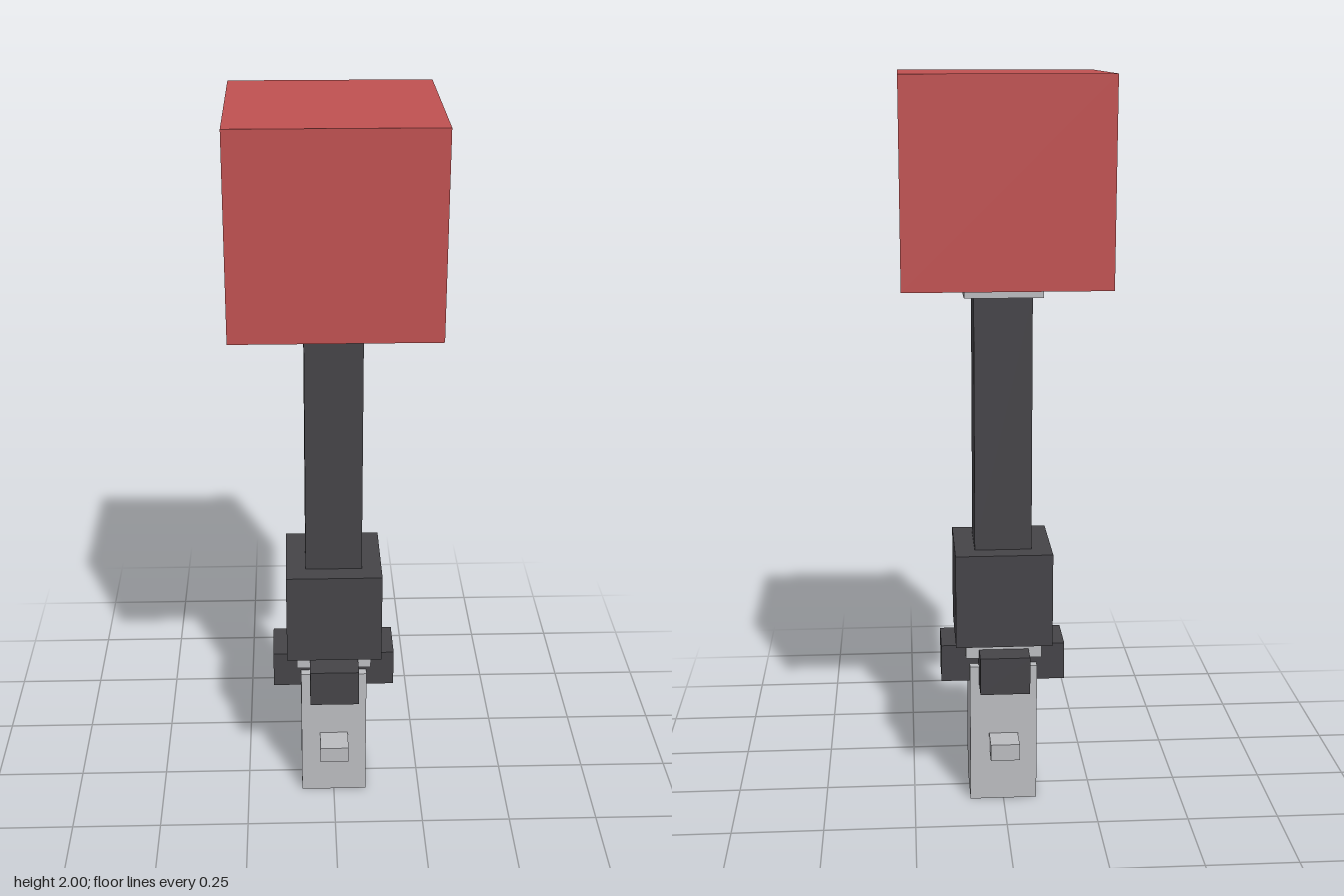
import * as THREE from 'three';

export function createModel() {
  const model = new THREE.Group();
  model.name = 'mallet';

  const material = (name, color) => {
    const m = new THREE.MeshStandardMaterial({ color });
    m.name = name;
    return m;
  };
  const red = material('red', 0xc05151);
  const dark = material('charcoal', 0x454448);
  const grey = material('light grey', 0xbbbcc0);

  // Box of the given width and depth, standing between two heights
  const block = (name, mat, width, depth, y0, y1, x = 0, z = 0) => {
    const mesh = new THREE.Mesh(new THREE.BoxGeometry(width, y1 - y0, depth), mat);
    mesh.name = name;
    mesh.position.set(x, (y0 + y1) / 2, z);
    model.add(mesh);
  };

  // Square sections stacked along the centre, bottom to top
  block('base', grey, 0.186, 0.186, 0, 0.4);
  block('neck', grey, 0.13, 0.13, 0.4, 0.43);
  block('lowerCollar', grey, 0.208, 0.208, 0.43, 0.473);
  block('grip', dark, 0.264, 0.264, 0.473, 0.735);
  block('shaft', dark, 0.155, 0.155, 0.735, 1.43);
  block('upperCollar', grey, 0.208, 0.208, 1.43, 1.472);
  block('head', red, 0.534, 0.534, 1.472, 2);

  // Four lugs around the neck
  for (let i = 0; i < 4; i++) {
    const a = (i * Math.PI) / 2;
    const x = Math.round(Math.sin(a)), z = Math.round(Math.cos(a));
    block('lug', dark, x ? 0.105 : 0.136, z ? 0.105 : 0.136, 0.35, 0.455, x * 0.1185, z * 0.1185);
  }

  // Pins on the front and back of the base
  for (const side of [-1, 1]) {
    block('pin', grey, 0.08, 0.086, 0.153, 0.2, 0, side * 0.128);
  }

  return model;
}
